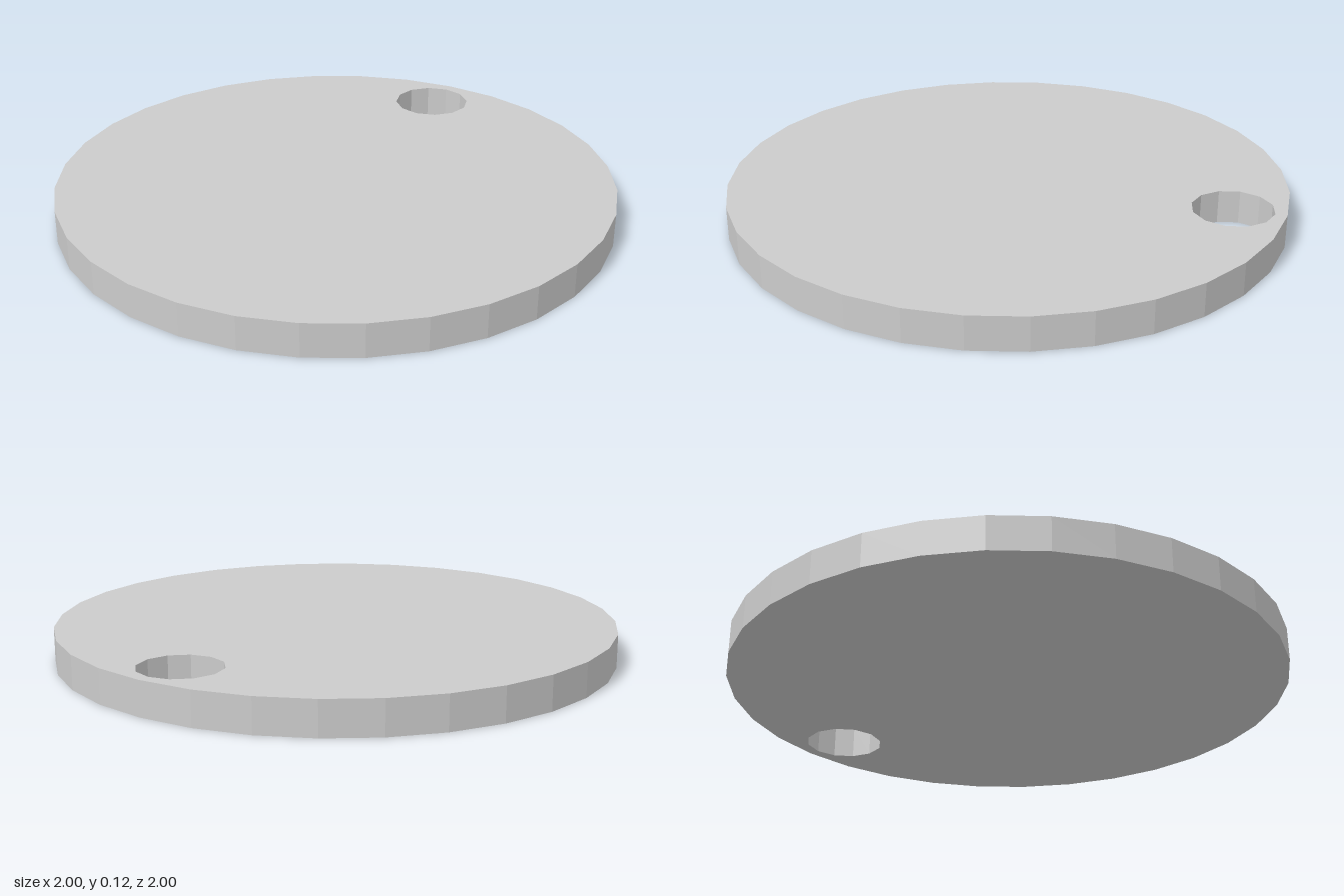
import * as THREE from 'three';

// Corners of a regular polygon, counter-clockwise
function ring(radius, sides, cy = 0) {
  return Array.from({ length: sides }, (_, i) => {
    const a = (i / sides) * Math.PI * 2;
    return new THREE.Vector2(radius * Math.cos(a), cy + radius * Math.sin(a));
  });
}

export function createModel() {
  const group = new THREE.Group();
  group.name = 'discTag';

  // Round 32-sided disc with a 12-sided hole near the back rim
  const outline = new THREE.Shape(ring(1, 32));
  outline.holes.push(new THREE.Path(ring(0.144, 12, 0.815).reverse()));

  const geometry = new THREE.ExtrudeGeometry(outline, { depth: 0.12, bevelEnabled: false });
  geometry.rotateX(-Math.PI / 2); // lay flat on the ground

  const disc = new THREE.Mesh(
    geometry,
    new THREE.MeshStandardMaterial({ color: 0xcccccc, flatShading: true })
  );
  disc.name = 'disc';
  group.add(disc);
  return group;
}
